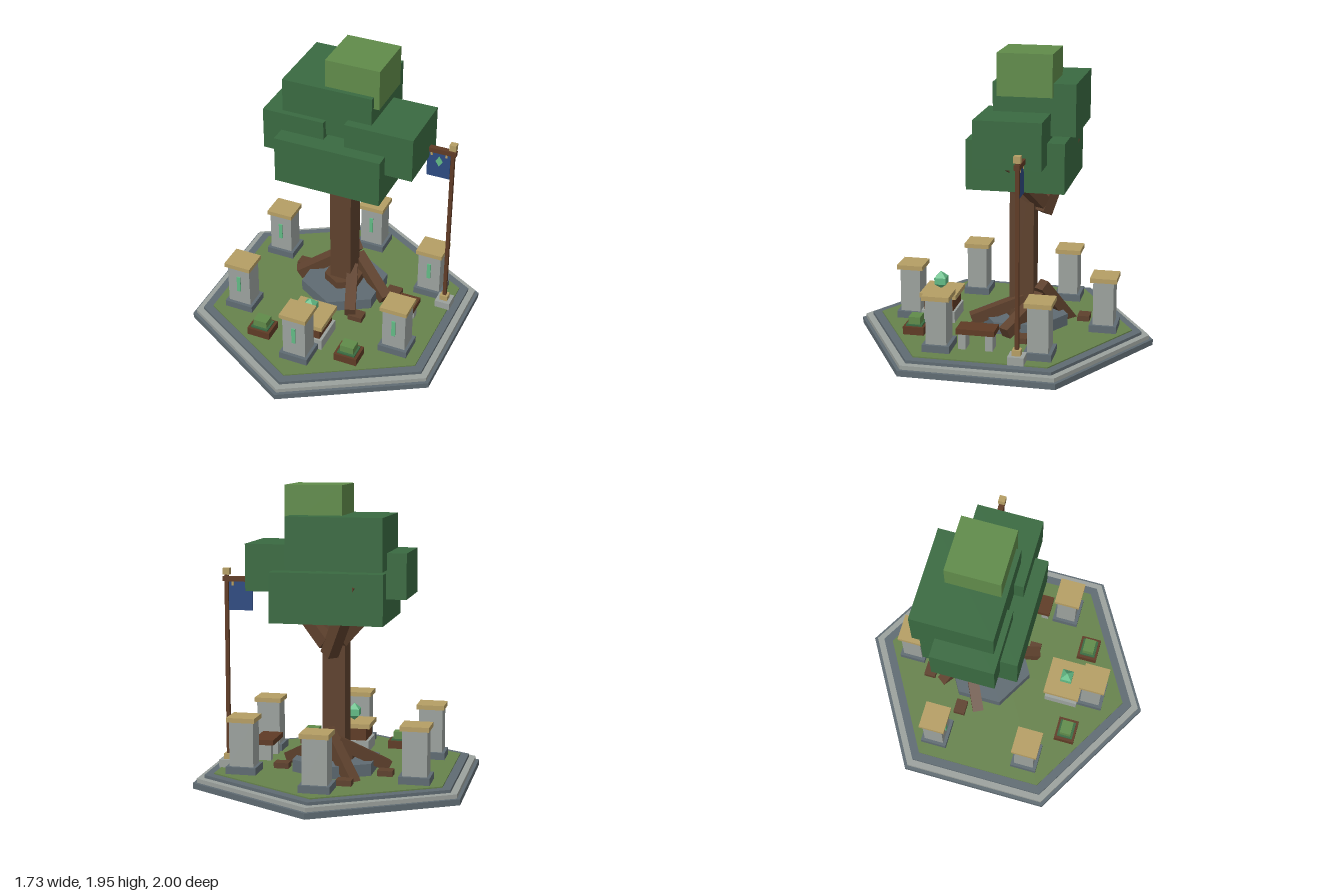
import * as THREE from 'three';

const paint = (name, color) => {
  const m = new THREE.MeshStandardMaterial({ color });
  m.name = name;
  return m;
};

export function createModel() {
  const slate = paint('slate', 0x5f6b72);
  const stone = paint('pale stone', 0x9ba19d);
  const grass = paint('grass', 0x66824c);
  const sand = paint('sandstone', 0xb59e64);
  const bark = paint('bark', 0x5e412d);
  const wood = paint('wood', 0x5f3b25);
  const leaf = paint('dark leaf', 0x3a6a41);
  const lightLeaf = paint('light leaf', 0x608b4a);
  const blue = paint('banner blue', 0x2d4a80);
  const jade = paint('jade', 0x62ba85);

  const root = new THREE.Group();
  root.name = 'treeShrine';

  const group = (name, x = 0, y = 0, z = 0) => {
    const g = new THREE.Group();
    g.name = name;
    g.position.set(x, y, z);
    root.add(g);
    return g;
  };
  const add = (parent, name, geometry, material) => {
    const m = new THREE.Mesh(geometry, material);
    m.name = name;
    parent.add(m);
    return m;
  };
  // Box given by its extents on each axis
  const block = (parent, name, material, [x0, x1], [y0, y1], [z0, z1]) => {
    const m = add(parent, name, new THREE.BoxGeometry(x1 - x0, y1 - y0, z1 - z0), material);
    m.position.set((x0 + x1) / 2, (y0 + y1) / 2, (z0 + z1) / 2);
    return m;
  };
  // Box centred on x and z of its parent
  const slab = (parent, name, material, w, y0, y1, d = w) =>
    block(parent, name, material, [-w / 2, w / 2], [y0, y1], [-d / 2, d / 2]);
  const faceted = (geometry) => {
    const g = geometry.toNonIndexed();
    g.computeVertexNormals();
    return g;
  };
  // Six-sided prism with its points along z
  const hex = (parent, name, material, r, y0, y1) => {
    const m = add(parent, name, faceted(new THREE.CylinderGeometry(r, r, y1 - y0, 6)), material);
    m.position.y = (y0 + y1) / 2;
    return m;
  };
  // Square beam between two points
  const beam = (parent, name, material, from, to, w) => {
    const a = new THREE.Vector3(...from), b = new THREE.Vector3(...to);
    const m = add(parent, name, new THREE.BoxGeometry(w, w, a.distanceTo(b)), material);
    m.position.copy(a).add(b).multiplyScalar(0.5);
    m.lookAt(b);
    return m;
  };

  // Stepped hexagonal platform
  const platform = group('platform');
  hex(platform, 'bottomStep', slate, 1, 0, 0.038);
  hex(platform, 'middleStep', stone, 0.975, 0.038, 0.065);
  hex(platform, 'topStep', slate, 0.925, 0.065, 0.085);
  hex(platform, 'lawn', grass, 0.86, 0.085, 0.093);

  // Tree: trunk, roots and branches around its own axis
  const tree = group('tree', 0, 0, -0.13);
  hex(tree, 'stoneRing', slate, 0.3, 0.09, 0.172);
  hex(tree, 'trunkFoot', bark, 0.14, 0.17, 0.225);
  slab(tree, 'trunk', bark, 0.15, 0.17, 1.25, 0.16);
  for (const [x, z] of [[0.21, 0.28], [0.35, -0.06], [-0.35, -0.11], [-0.14, -0.39]]) {
    beam(tree, 'root', bark, [x * 0.08, 0.31, z * 0.08], [x, 0.12, z], 0.075);
    const foot = slab(tree, 'rootFoot', bark, 0.1, 0.09, 0.13, 0.08);
    foot.position.x = x;
    foot.position.z = z;
  }
  for (const tip of [[0.38, 1.31, -0.05], [-0.3, 1.27, 0.04], [0.16, 1.25, 0.2], [-0.155, 1.285, -0.39]]) {
    beam(tree, 'branch', bark, [tip[0] * 0.05, 0.93, tip[2] * 0.05], tip, 0.085);
  }

  // Foliage blocks
  const crown = group('crown');
  const foliage = [
    [leaf, [-0.366, 0.362], [1.09, 1.412], [-0.457, 0.173]],
    [leaf, [-0.495, -0.07], [1.248, 1.537], [-0.352, 0.062]],
    [leaf, [0.083, 0.546], [1.275, 1.577], [-0.346, 0.086]],
    [leaf, [-0.372, 0.243], [1.432, 1.764], [-0.505, 0.024]],
    [lightLeaf, [-0.088, 0.28], [1.68, 1.952], [-0.362, -0.008]],
  ];
  for (const [m, x, y, z] of foliage) block(crown, 'foliage', m, x, y, z);

  // Six pillars, each with a jade inlay on its front
  for (const [x, z] of [[0, 0.632], [0, -0.676], [0.565, 0.305], [-0.565, 0.305], [0.565, -0.348], [-0.565, -0.348]]) {
    const pillar = group('pillar', x, 0, z);
    slab(pillar, 'pillarBase', slate, 0.2, 0.09, 0.14, 0.18);
    slab(pillar, 'pillarShaft', stone, 0.16, 0.14, 0.433, 0.135);
    slab(pillar, 'pillarCap', sand, 0.186, 0.433, 0.463, 0.176);
    block(pillar, 'pillarInlay', jade, [-0.013, 0.013], [0.24, 0.36], [0.067, 0.076]);
  }

  // Altar with floating crystal
  const altar = group('altar', 0, 0, 0.43);
  slab(altar, 'altarBase', stone, 0.25, 0.09, 0.17, 0.23);
  slab(altar, 'altarBody', wood, 0.21, 0.17, 0.258, 0.2);
  slab(altar, 'altarTop', sand, 0.265, 0.258, 0.29, 0.25);
  const profile = [[0, 0.29], [0.055, 0.325], [0.055, 0.37], [0, 0.412]].map((p) => new THREE.Vector2(...p));
  const crystal = add(altar, 'crystal', faceted(new THREE.LatheGeometry(profile, 4)), jade);
  crystal.rotation.y = Math.PI / 4;
  crystal.position.z = 0.008;

  // Planters
  for (const side of [1, -1]) {
    const planter = group('planter', side * 0.315, 0, 0.527);
    slab(planter, 'planterBox', wood, 0.16, 0.09, 0.146, 0.14);
    slab(planter, 'planterHedge', leaf, 0.122, 0.146, 0.156, 0.108);
    slab(planter, 'planterShrub', lightLeaf, 0.095, 0.156, 0.205, 0.078);
  }

  // Bench
  const bench = group('bench', 0.52, 0, 0.065);
  block(bench, 'benchSeat', wood, [-0.07, 0.07], [0.2, 0.236], [-0.125, 0.125]);
  for (const z of [-0.085, 0.09]) {
    block(bench, 'benchLeg', stone, [-0.05, 0.05], [0.09, 0.2], [z - 0.024, z + 0.024]);
  }

  // Banner pole
  const banner = group('bannerPole', 0.705, 0, -0.23);
  slab(banner, 'poleFooting', stone, 0.105, 0.09, 0.143);
  slab(banner, 'poleCollar', sand, 0.055, 0.143, 0.18);
  slab(banner, 'pole', wood, 0.024, 0.18, 1.37);
  slab(banner, 'poleFinial', sand, 0.044, 1.365, 1.408);
  block(banner, 'crossbar', wood, [-0.19, 0.023], [1.322, 1.354], [-0.018, 0.018]);
  block(banner, 'bannerCloth', blue, [-0.173, -0.016], [1.135, 1.325], [-0.006, 0.006]);
  for (const x of [-0.142, -0.042]) {
    block(banner, 'bannerClip', sand, [x - 0.007, x + 0.007], [1.296, 1.326], [-0.011, 0.011]);
  }
  // Leaf-like diamond on the cloth
  const diamond = new THREE.Shape([[0, -0.038], [0.024, 0], [0, 0.038], [-0.024, 0]].map((p) => new THREE.Vector2(...p)));
  const emblem = add(banner, 'bannerDiamond', new THREE.ExtrudeGeometry(diamond, { depth: 0.005, bevelEnabled: false }), jade);
  emblem.position.set(-0.09, 1.257, 0.005);

  return root;
}
